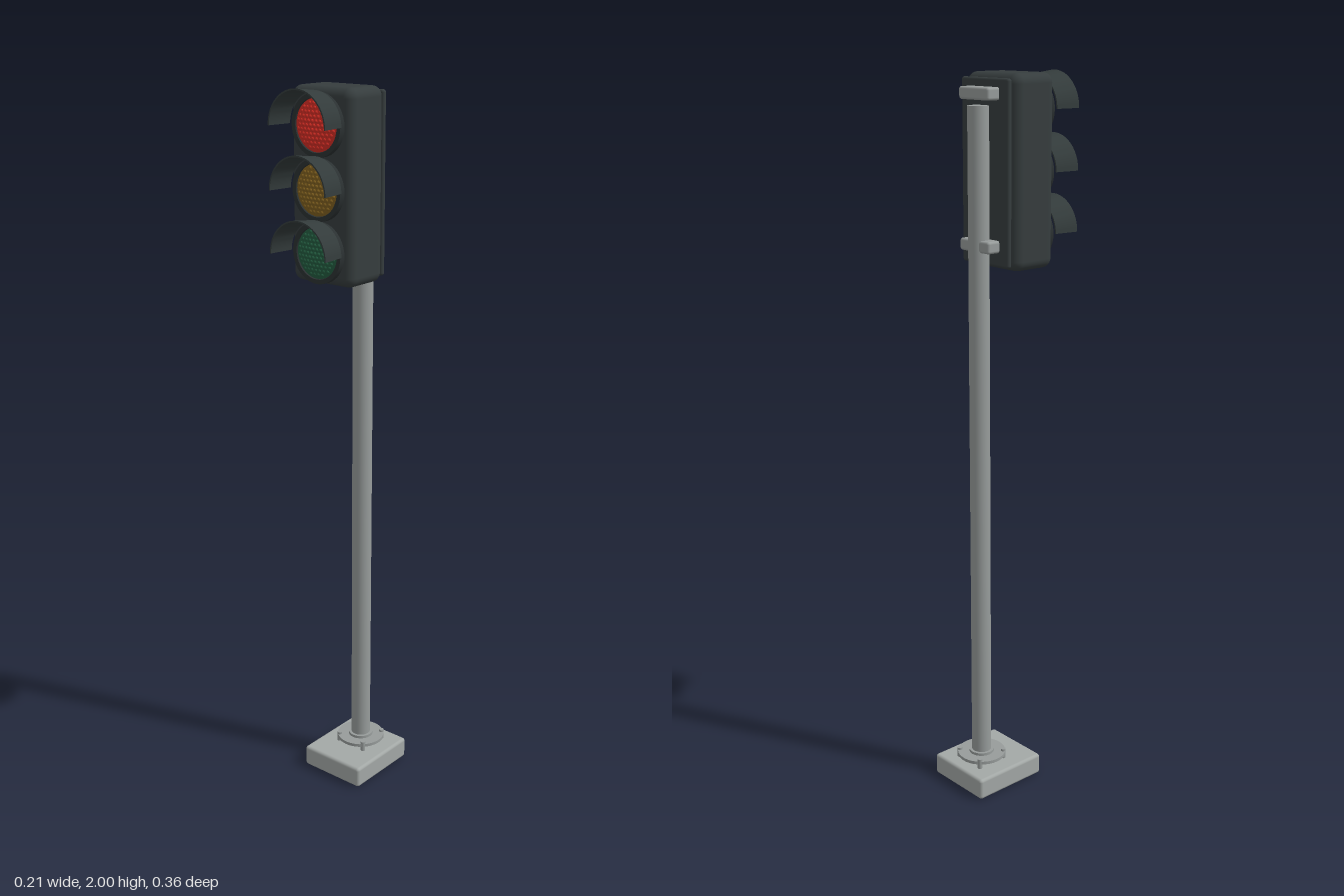
import * as THREE from 'three';
import { mergeGeometries, toCreasedNormals } from 'three/addons/utils/BufferGeometryUtils.js';
import { RoundedBoxGeometry } from 'three/addons/geometries/RoundedBoxGeometry.js';

export function createModel() {
  const model = new THREE.Group();
  model.name = 'trafficLight';

  const material = (name, color, side = THREE.FrontSide) => {
    const m = new THREE.MeshStandardMaterial({ color, side });
    m.name = name;
    return m;
  };
  const concrete = material('concrete', 0xa3a8a6);
  const steel = material('steel', 0x979c9b);
  const housing = material('housing', 0x363d3e);
  const trim = material('trim', 0x2b3132);
  const shade = material('shade', 0x333b3b, THREE.DoubleSide);
  const lights = [
    ['red', material('red lens', 0xd32d24)],
    ['amber', material('amber lens', 0x80601f)],
    ['green', material('green lens', 0x235c40)],
  ];

  const add = (parent, name, geometry, mat, x = 0, y = 0, z = 0) => {
    const mesh = new THREE.Mesh(geometry, mat);
    mesh.name = name;
    mesh.position.set(x, y, z);
    parent.add(mesh);
    return mesh;
  };
  // solid turned from [radius, height] points, with sharp edges kept
  const turned = (points, segments = 40, start = 0, sweep = Math.PI * 2) =>
    toCreasedNormals(new THREE.LatheGeometry(
      points.map(([r, h]) => new THREE.Vector2(r, h)), segments, start, sweep), 0.6);

  // base block, flange and pole
  const poleZ = -0.088;
  add(model, 'baseBlock', new RoundedBoxGeometry(0.206, 0.062, 0.23, 3, 0.009), concrete, 0, 0.031, -0.064);
  add(model, 'collar', new THREE.CylinderGeometry(0.036, 0.036, 0.035, 32), steel, 0, 0.075, poleZ);
  add(model, 'flange', new THREE.CylinderGeometry(0.069, 0.069, 0.009, 40), steel, 0, 0.08, poleZ);
  add(model, 'pole', new THREE.CylinderGeometry(0.028, 0.028, 1.86, 32), steel, 0, 0.99, poleZ);
  for (const sx of [-1, 1]) {
    for (const sz of [-1, 1]) {
      add(model, 'anchorBolt', new THREE.CylinderGeometry(0.007, 0.007, 0.032, 12), steel,
        sx * 0.045, 0.075, poleZ + sz * 0.045);
    }
  }

  // housing with its back plate, held by two cross brackets
  const head = new THREE.Group();
  head.name = 'signalHead';
  model.add(head);
  add(head, 'housing', new RoundedBoxGeometry(0.203, 0.5, 0.137, 4, 0.026), housing, 0, 1.75, 0.0195);
  add(head, 'backPlate', new RoundedBoxGeometry(0.182, 0.476, 0.015, 3, 0.007), housing, 0, 1.75, -0.06);
  add(head, 'plateSpacer', new THREE.BoxGeometry(0.15, 0.44, 0.02), trim, 0, 1.75, -0.05);
  for (const y of [1.95, 1.565]) {
    add(head, 'bracket', new RoundedBoxGeometry(0.115, 0.032, 0.045, 3, 0.007), steel, 0, y, -0.083);
  }

  // shared lamp shapes, turned about y and then faced to +z
  const ringGeometry = turned([[0.066, 0.08], [0.08, 0.08], [0.08, 0.104], [0.068, 0.104], [0.066, 0.098], [0.066, 0.08]])
    .rotateX(Math.PI / 2);
  const lensGeometry = turned([[0.067, 0.085], [0.067, 0.1], [0.05, 0.106], [0.025, 0.109], [0, 0.11]])
    .rotateX(Math.PI / 2);
  const visorGeometry = turned([[0.082, 0.107], [0.086, 0.107], [0.094, 0.178], [0.09, 0.178], [0.082, 0.107]],
    32, Math.PI / 2, Math.PI).rotateX(Math.PI / 2);

  // hexagonal field of small domes on the lens
  const domes = [];
  const pitch = 0.0125;
  for (let row = -5; row <= 5; row++) {
    for (let col = -6; col <= 6; col++) {
      const x = (col + (row % 2 ? 0.5 : 0)) * pitch;
      const y = row * pitch * 0.866;
      const r = Math.hypot(x, y);
      if (r > 0.06) continue;
      const dome = new THREE.SphereGeometry(0.005, 8, 4, 0, Math.PI * 2, 0, Math.PI / 2);
      domes.push(dome.rotateX(Math.PI / 2).translate(x, y, 0.109 - 2.2 * r * r));
    }
  }
  const domeGeometry = mergeGeometries(domes);

  // three lamps from top to bottom
  lights.forEach(([color, mat], i) => {
    const lamp = new THREE.Group();
    lamp.name = color + 'Lamp';
    lamp.position.y = 1.907 - i * 0.161;
    head.add(lamp);
    add(lamp, 'lampRing', ringGeometry, trim);
    add(lamp, 'lens', lensGeometry, mat);
    add(lamp, 'lensDomes', domeGeometry, mat);
    add(lamp, 'visor', visorGeometry, shade);
  });

  return model;
}
